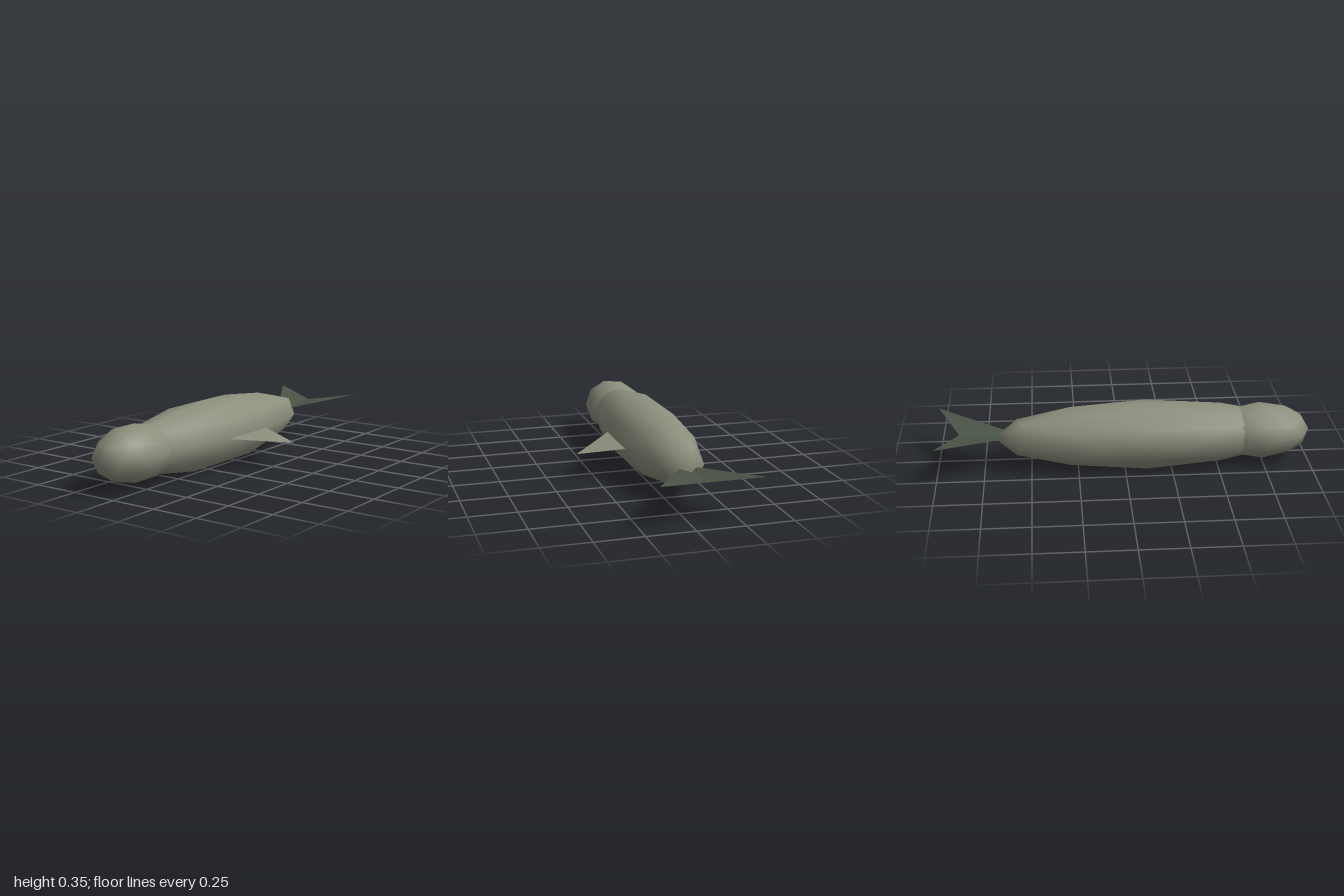
import * as THREE from 'three';
import { mergeVertices } from 'three/addons/utils/BufferGeometryUtils.js';

const MID_X = -0.084;

// Smooth low-poly ellipsoid: a once-divided icosahedron standing on a vertex
function ellipsoid(rx, ry, rz, reshape) {
  let geo = new THREE.IcosahedronGeometry(1, 1);
  geo.rotateZ(-Math.atan(2 / (1 + Math.sqrt(5))));
  geo.deleteAttribute('normal');
  geo.deleteAttribute('uv');
  geo = mergeVertices(geo, 1e-3);
  const pos = geo.attributes.position;
  if (reshape) for (let i = 0; i < pos.count; i++) pos.setY(i, reshape(pos.getY(i)));
  geo.scale(rx, ry, rz);
  geo.computeVertexNormals();
  return geo;
}

// Thin sheet made of triangles sharing a list of corners
function sheet(corners, faces) {
  const geo = new THREE.BufferGeometry();
  geo.setAttribute('position', new THREE.Float32BufferAttribute(
    faces.flatMap((f) => f.flatMap((i) => corners[i])), 3));
  geo.computeVertexNormals();
  return geo;
}

export function createModel() {
  const group = new THREE.Group();
  const skin = new THREE.MeshStandardMaterial({ color: 0x8c8f7d, side: THREE.DoubleSide });
  skin.name = 'grey olive skin';
  const dark = new THREE.MeshStandardMaterial({ color: 0x4a5445, side: THREE.DoubleSide });
  dark.name = 'dark green fluke';

  const add = (name, geo, mat, x = 0, y = 0, z = 0) => {
    const mesh = new THREE.Mesh(geo, mat);
    mesh.name = name;
    mesh.position.set(x, y, z);
    group.add(mesh);
  };

  // Long body with a slightly flattened belly
  const belly = (y) => (y < -0.95 ? -0.955 : y < -0.8 ? -0.89 : y);
  add('body', ellipsoid(0.197, 0.18, 0.81, belly), skin, MID_X, 0.172, 0.115);

  // Rounded head
  add('head', ellipsoid(0.163, 0.149, 0.262), skin, MID_X, 0.173, 0.738);

  // Swallow-tailed fluke: root, notch and two tips
  add('tailFluke', sheet([
    [MID_X, 0.178, -0.54], [MID_X, 0.193, -0.88],
    [MID_X + 0.265, 0.234, -1], [MID_X - 0.265, 0.234, -1],
  ], [[0, 2, 1], [0, 1, 3]]), dark);

  // Single flipper on the left flank
  add('leftFlipper', sheet([
    [0.06, 0.174, 0.247], [0.345, 0.133, -0.055], [0.06, 0.174, -0.165],
  ], [[0, 1, 2]]), skin);

  return group;
}
